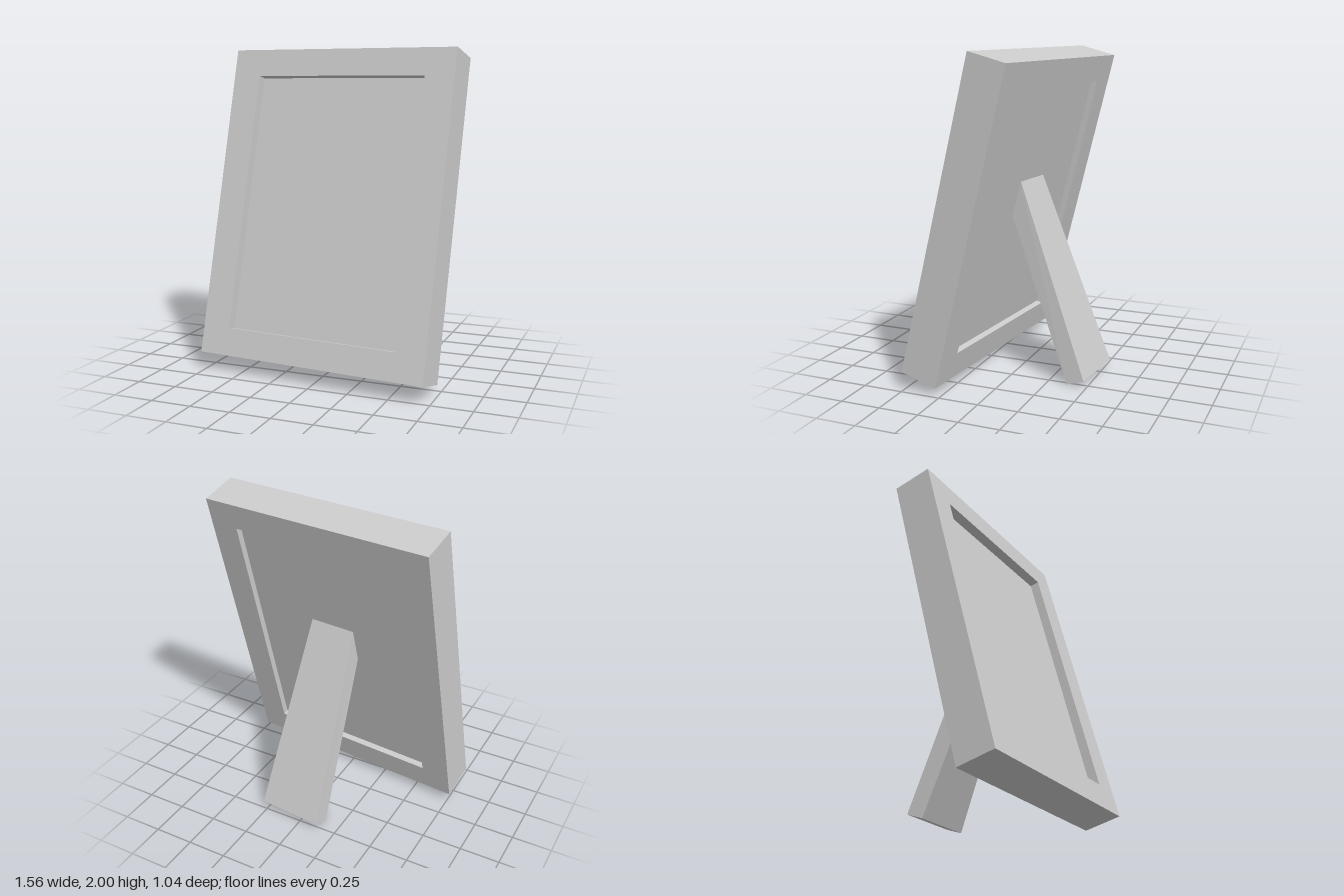
import * as THREE from 'three';

const WIDTH = 1.5, HEIGHT = 1.953, DEPTH = 0.243;
const OPEN_W = 1.128, OPEN_H = 1.613;
const FRONT_RECESS = 0.061, BACK_RECESS = 0.039;

const rectangle = (path, w, h) => path
  .moveTo(-w / 2, -h / 2).lineTo(w / 2, -h / 2)
  .lineTo(w / 2, h / 2).lineTo(-w / 2, h / 2).closePath();

export function createModel() {
  const material = new THREE.MeshStandardMaterial({ color: 0xcccccc, flatShading: true });
  const add = (parent, name, geometry) => {
    const mesh = new THREE.Mesh(geometry, material);
    mesh.name = name;
    parent.add(mesh);
    return mesh;
  };

  const model = new THREE.Group();
  model.name = 'pictureFrame';

  // Everything is turned slightly about the vertical
  const turned = new THREE.Group();
  turned.name = 'turnedAssembly';
  turned.rotation.y = -0.0915;
  model.add(turned);

  // Frame and picture panel lean back together
  const leaning = new THREE.Group();
  leaning.name = 'leaningFrame';
  leaning.position.set(0.006, 1.024, 0.09);
  leaning.rotation.x = -0.25;
  turned.add(leaning);

  // Border with a rectangular opening
  const outline = new THREE.Shape();
  const opening = new THREE.Path();
  rectangle(outline, WIDTH, HEIGHT);
  rectangle(opening, OPEN_W, OPEN_H);
  outline.holes.push(opening);
  const border = new THREE.ExtrudeGeometry(outline, { depth: DEPTH, bevelEnabled: false });
  border.translate(0, 0, -DEPTH / 2);
  add(leaning, 'frameBorder', border);

  // Panel recessed from both faces
  const panel = add(leaning, 'picturePanel',
    new THREE.BoxGeometry(OPEN_W, OPEN_H, DEPTH - FRONT_RECESS - BACK_RECESS));
  panel.position.z = (BACK_RECESS - FRONT_RECESS) / 2;

  // Tapered strut, its upper end buried in the panel
  const ends = {
    bottom: { x: 0.031, half: 0.208, front: [0, -0.397], back: [0.038, -0.507] },
    top: { x: 0.006, half: 0.147, front: [1.12, 0.068], back: [1.25, -0.024] },
  };
  const strut = new THREE.BoxGeometry(1, 1, 1);
  const p = strut.attributes.position;
  for (let i = 0; i < p.count; i++) {
    const end = p.getY(i) > 0 ? ends.top : ends.bottom;
    const [y, z] = p.getZ(i) > 0 ? end.front : end.back;
    p.setXYZ(i, end.x + Math.sign(p.getX(i)) * end.half, y, z);
  }
  strut.computeVertexNormals();
  add(turned, 'backStand', strut);

  return model;
}
